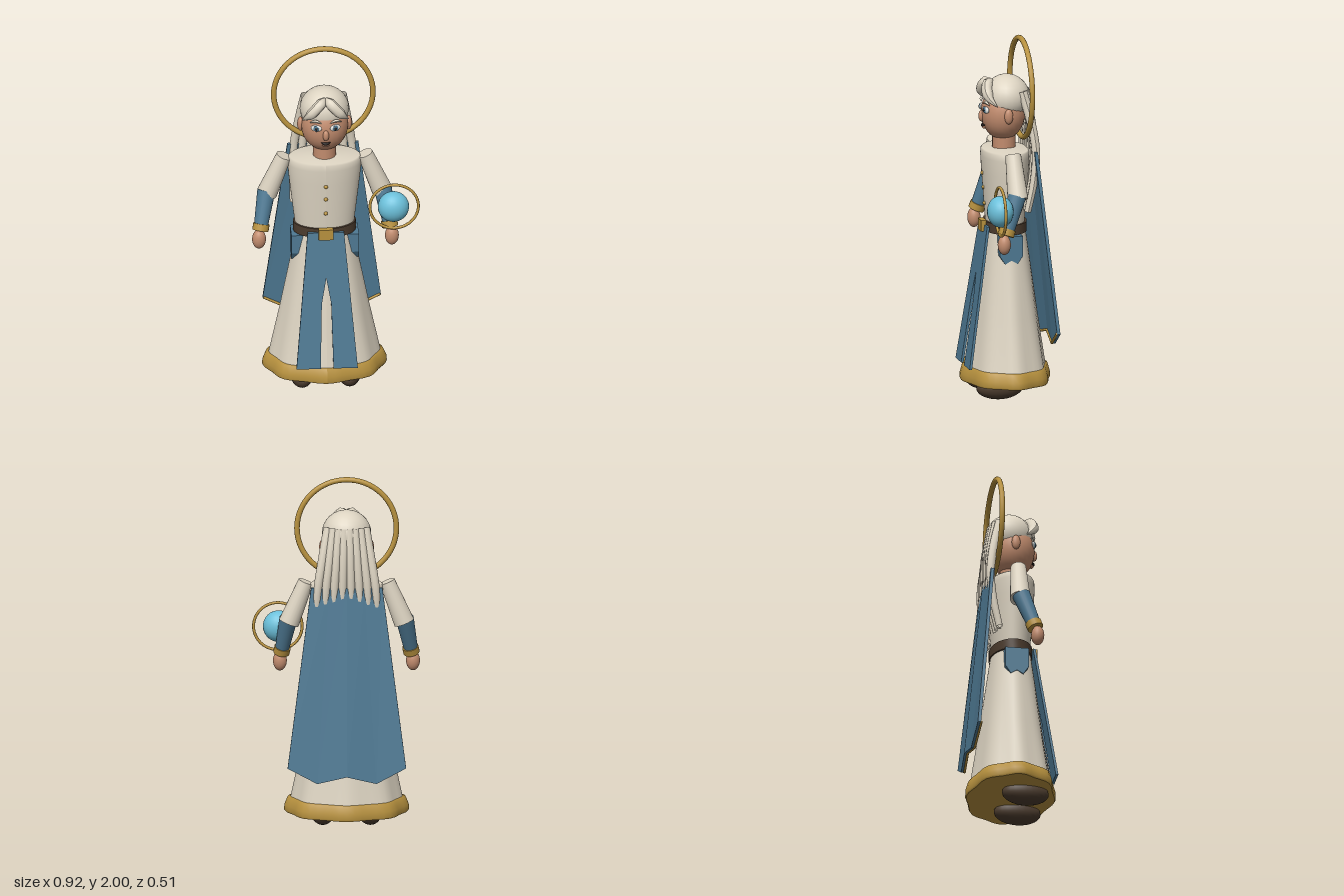
import * as THREE from 'three';

const mat = (name, color, side = THREE.FrontSide) => {
  const m = new THREE.MeshStandardMaterial({ color, side });
  m.name = name;
  return m;
};
const V = (x, y, z) => new THREE.Vector3(x, y, z);

export function createModel() {
  const cream = mat('cream', 0xddd4c2, THREE.DoubleSide);
  const blue = mat('blue', 0x4f7a94);
  const gold = mat('gold', 0xb8923f);
  const brown = mat('brown', 0x4c3c2e);
  const skin = mat('skin', 0xc28c6e);
  const sky = mat('skyBlue', 0x6cc0da);
  const dark = mat('dark', 0x241e1c);
  const white = mat('eyeWhite', 0xeeeeea);

  const group = new THREE.Group();
  group.position.x = -0.06;
  const add = (name, geo, material, p = [0, 0, 0]) => {
    const m = new THREE.Mesh(geo, material);
    m.name = name;
    m.position.set(...p);
    group.add(m);
    return m;
  };
  const ball = (name, material, p, s) => {
    const m = add(name, new THREE.SphereGeometry(1, 24, 16), material, p);
    m.scale.set(...s);
    return m;
  };
  // Elliptical lathe; waves(y) gives the depth of the cloth folds
  const lathe = (name, pts, depth, material, waves = () => 0) => {
    const g = new THREE.LatheGeometry(pts.map(p => new THREE.Vector2(...p)), 48);
    const a = g.attributes.position;
    for (let i = 0; i < a.count; i++) {
      const x = a.getX(i), y = a.getY(i), z = a.getZ(i);
      const k = 1 + waves(y) * (Math.cos(8 * Math.atan2(x, z)) - 1);
      a.setXYZ(i, x * k, y, z * k * depth);
    }
    g.computeVertexNormals();
    return add(name, g, material);
  };
  // Tapered cylinder between two points
  const limb = (name, a, b, ra, rb, material) => {
    const d = b.clone().sub(a);
    const m = add(name, new THREE.CylinderGeometry(rb, ra, d.length(), 20), material);
    m.position.copy(a).addScaledVector(d, 0.5);
    m.quaternion.setFromUnitVectors(V(0, 1, 0), d.normalize());
    return m;
  };
  // Tube along a curve with its radius scaled by taper(t)
  const lock = (name, pts, r, taper, material) => {
    const curve = new THREE.CatmullRomCurve3(pts), n = 16, k = 10;
    const g = new THREE.TubeGeometry(curve, n, r, k);
    const a = g.attributes.position, v = V(0, 0, 0);
    for (let i = 0; i < a.count; i++) {
      const t = Math.floor(i / (k + 1)) / n, c = curve.getPointAt(t);
      v.fromBufferAttribute(a, i).sub(c).multiplyScalar(taper(t)).add(c);
      a.setXYZ(i, v.x, v.y, v.z);
    }
    g.computeVertexNormals();
    return add(name, g, material);
  };

  // Skirt with folds that fade towards the waist, and its hem
  const folds = y => 0.03 * Math.min(1, Math.max(0, (0.95 - y) / 0.85));
  lathe('skirt', [[0.33, 0.1], [0.305, 0.18], [0.245, 0.46], [0.19, 0.74], [0.15, 0.94]], 0.73, cream, folds);
  lathe('hem', [[0.001, 0.09], [0.335, 0.09], [0.335, 0.09], [0.342, 0.1], [0.34, 0.13], [0.323, 0.172], [0.305, 0.176]], 0.73, gold, folds);

  // Front tabard, split by a slit and leaning with the skirt
  const tab = new THREE.Shape();
  [[-0.1, 0.96], [-0.168, 0.18], [-0.035, 0.18], [-0.026, 0.55], [0, 0.7],
    [0.026, 0.55], [0.035, 0.18], [0.168, 0.18], [0.1, 0.96]]
    .forEach((p, i) => (i ? tab.lineTo(...p) : tab.moveTo(...p)));
  const tabGeo = new THREE.ExtrudeGeometry(tab, { depth: 0.014, bevelEnabled: false });
  const ta = tabGeo.attributes.position;
  for (let i = 0; i < ta.count; i++) ta.setZ(i, ta.getZ(i) + 0.223 - (ta.getY(i) - 0.18) * 0.147);
  tabGeo.computeVertexNormals();
  add('tabard', tabGeo, blue);

  // Hip flaps with ragged lower edges
  const flap = new THREE.Shape();
  [[-0.065, 0.92], [-0.065, 0.81], [-0.035, 0.765], [0, 0.785], [0.035, 0.765], [0.065, 0.81], [0.065, 0.92]]
    .forEach((p, i) => (i ? flap.lineTo(...p) : flap.moveTo(...p)));
  for (const s of [-1, 1]) {
    const g = new THREE.ExtrudeGeometry(flap, { depth: 0.07, bevelEnabled: false });
    g.translate(0, 0, -0.035);
    add('hipFlap', g, blue, [s * 0.15, 0, 0.005]).rotation.y = Math.PI / 2;
  }

  // Torso, belt, buckle, buttons
  lathe('torso', [[0.16, 0.95], [0.172, 1.05], [0.195, 1.25], [0.203, 1.34], [0.2, 1.372], [0.19, 1.38], [0.05, 1.39], [0.001, 1.39]], 0.64, cream);
  lathe('belt', [[0.15, 0.925], [0.172, 0.925], [0.172, 0.925], [0.172, 0.98], [0.172, 0.98], [0.15, 0.98]], 0.68, brown);
  add('buckle', new THREE.BoxGeometry(0.08, 0.062, 0.03), gold, [0, 0.955, 0.127]);
  [[1.245, 0.125], [1.165, 0.119], [1.075, 0.113]].forEach(([y, z]) =>
    ball('button', gold, [0, y, z], [0.011, 0.011, 0.011]));

  // Cape: a bent sheet that flares towards a ragged lower edge
  const hang = [0.39, 0.305, 0.345, 0.305, 0.39];
  const capeGeo = new THREE.BoxGeometry(1, 1, 0.018, 4, 1, 1).toNonIndexed();
  const ca = capeGeo.attributes.position;
  for (let i = 0; i < ca.count; i++) {
    const u = ca.getX(i) * 2, top = ca.getY(i) > 0;
    const z = ca.getZ(i) + (top ? -0.132 - 0.012 * (1 - Math.abs(u)) : -0.228 - 0.02 * (1 - Math.abs(u)));
    ca.setXYZ(i, u * (top ? 0.195 : 0.324), top ? 1.385 : hang[Math.round((u + 1) * 2)], z);
  }
  capeGeo.computeVertexNormals();
  add('cape', capeGeo, blue);
  for (let i = 0; i < 4; i++) {
    const pt = j => V((j - 2) * 0.16, hang[j] + 0.003, -0.217 - 0.01 * (2 - Math.abs(j - 2)));
    limb('capeTrim', pt(i), pt(i + 1), 0.007, 0.007, gold);
  }

  // Paired parts
  for (const s of [-1, 1]) {
    ball('shoe', brown, [s * 0.13, 0.068, 0.06], [0.065, 0.066, 0.13]);
    limb('upperSleeve', V(s * 0.222, 1.385, 0.005), V(s * 0.315, 1.155, 0), 0.043, 0.057, cream);
    limb('forearm', V(s * 0.318, 1.175, 0.005), V(s * 0.353, 0.985, 0.07), 0.05, 0.038, blue);
    limb('bracelet', V(s * 0.349, 1.0, 0.065), V(s * 0.356, 0.965, 0.077), 0.045, 0.045, gold);
    ball('hand', skin, [s * 0.364, 0.917, 0.088], [0.038, 0.056, 0.036]);

    ball('ear', skin, [s * 0.132, 1.58, 0.008], [0.018, 0.042, 0.024]);
    const turn = s * 0.35;
    ball('eye', white, [s * 0.052, 1.607, 0.119], [0.031, 0.019, 0.01]).rotation.y = turn;
    ball('iris', blue, [s * 0.053, 1.607, 0.126], [0.016, 0.017, 0.006]).rotation.y = turn;
    ball('pupil', dark, [s * 0.053, 1.607, 0.131], [0.008, 0.009, 0.004]).rotation.y = turn;
    lock('eyebrow', [V(s * 0.022, 1.638, 0.126), V(s * 0.055, 1.65, 0.12), V(s * 0.088, 1.636, 0.104)],
      0.008, t => 0.1 + 0.9 * Math.sin(Math.PI * t), cream);
    lock('fringe', [V(s * 0.002, 1.765, 0.075), V(s * 0.035, 1.74, 0.108), V(s * 0.085, 1.685, 0.11), V(s * 0.128, 1.635, 0.07)],
      0.03, t => Math.min(1, 0.3 + 4 * t, 0.05 + 2.2 * (1 - t)), cream);
  }

  // Neck, head and face
  limb('neck', V(0, 1.36, 0.005), V(0, 1.47, 0.005), 0.064, 0.064, skin);
  ball('head', skin, [0, 1.578, 0.01], [0.13, 0.15, 0.122]);
  ball('nose', skin, [0, 1.565, 0.13], [0.017, 0.032, 0.018]);
  lock('mouth', [V(-0.028, 1.519, 0.117), V(0, 1.511, 0.126), V(0.028, 1.519, 0.117)],
    0.008, t => 0.1 + 0.9 * Math.sin(Math.PI * t), dark);
  ball('lowerLip', skin, [0, 1.5, 0.117], [0.02, 0.008, 0.01]);

  // Hair cap and long strands down the back
  ball('hairCap', cream, [0, 1.665, -0.01], [0.135, 0.126, 0.127]);
  for (let i = 0; i < 8; i++) {
    const u = (i - 3.5) / 3.5, b = 0.03 * (1 - u * u);
    lock('hairStrand', [V(u * 0.1, 1.71, -0.075 - b), V(u * 0.13, 1.55, -0.115 - b * 0.6), V(u * 0.158, 1.38, -0.138),
      V(u * 0.165, 1.22, -0.125), V(u * 0.165, 1.05, -0.09)],
      0.025, t => 1.1 - 0.35 * t, cream);
  }

  // Halo, and the floating orb with its ring
  add('halo', new THREE.TorusGeometry(0.272, 0.015, 12, 64), gold, [0, 1.713, -0.092]);
  ball('orb', sky, [0.371, 1.105, 0.112], [0.086, 0.087, 0.072]);
  add('orbRing', new THREE.TorusGeometry(0.133, 0.008, 10, 48), gold, [0.375, 1.105, 0.112]);

  return group;
}
